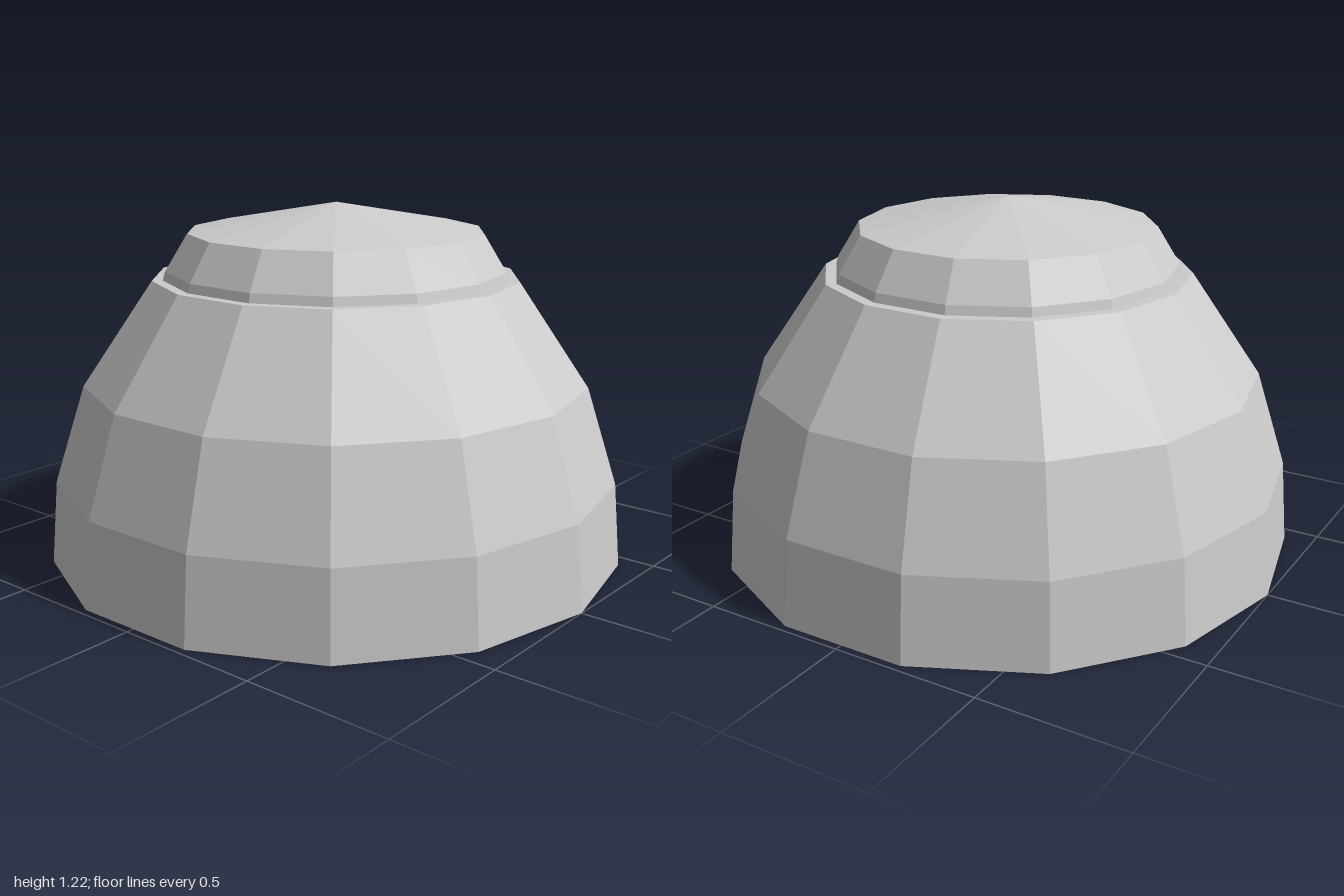
import * as THREE from 'three';

const SIDES = 14;

export function createModel() {
  const model = new THREE.Group();
  model.name = 'dome';
  const grey = new THREE.MeshStandardMaterial({ color: 0xcccccc, flatShading: true, side: THREE.DoubleSide });
  grey.name = 'grey';

  // Faceted shell turned from a profile of [radius, height] points, bottom to top
  const addShell = (name, profile) => {
    const points = profile.map(([r, y]) => new THREE.Vector2(r, y));
    const mesh = new THREE.Mesh(new THREE.LatheGeometry(points, SIDES), grey);
    mesh.name = name;
    model.add(mesh);
  };

  // Open-bottomed outer dome with a flat ledge around the neck
  addShell('outerDome', [[1, 0], [0.975, 0.29], [0.87, 0.62], [0.63, 0.97], [0.593, 0.97]]);

  // Inner sleeve that hangs inside the dome and rises into the bevelled neck
  addShell('innerSleeve', [[0.605, 0.55], [0.593, 0.97], [0.585, 1.0], [0.508, 1.125]]);

  // Shallow cone closing the top
  addShell('cap', [[0.508, 1.125], [0, 1.22]]);

  return model;
}
